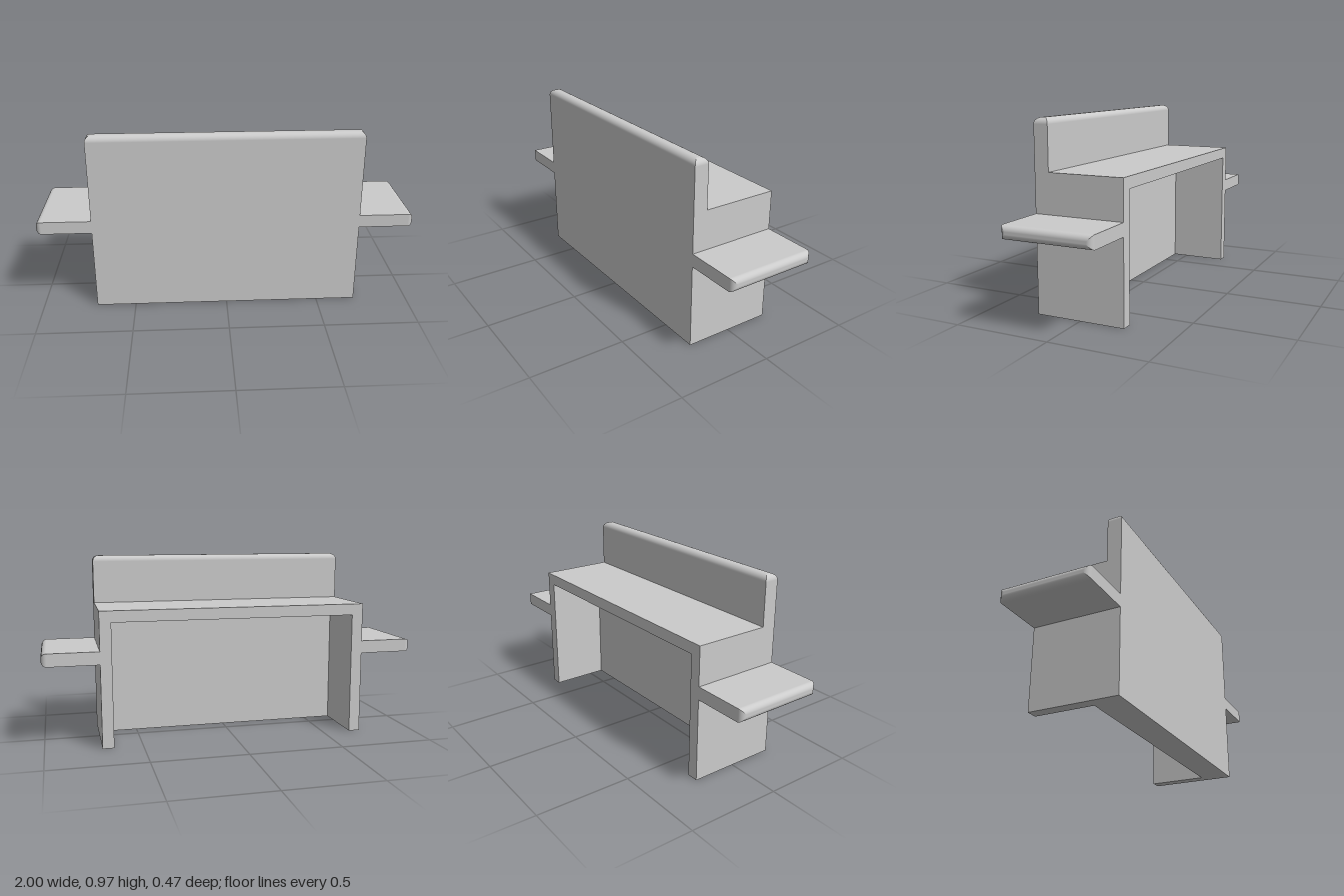
import * as THREE from 'three';

const material = new THREE.MeshStandardMaterial({ color: 0xcccccc });

// Board standing on y = 0, its four upper edges rounded with mitred corners
function roundedTopBoard(w, h, d, r, steps = 8) {
  const positions = [], normals = [], index = [];
  const profile = [{ inset: 0, y: 0, a: 0 }];
  for (let i = 0; i <= steps; i++) {
    const a = (i / steps) * Math.PI / 2;
    profile.push({ inset: r * (1 - Math.cos(a)), y: h - r + r * Math.sin(a), a });
  }
  // four sides, each a smooth strip running up and over the edge
  for (let side = 0; side < 4; side++) {
    const turn = side * Math.PI / 2;
    const c = Math.round(Math.cos(turn)), s = Math.round(Math.sin(turn));
    const halfW = (side % 2 ? d : w) / 2, halfD = (side % 2 ? w : d) / 2;
    const start = positions.length / 3;
    for (const p of profile) {
      for (const e of [-1, 1]) {
        const x = e * (halfW - p.inset), z = halfD - p.inset;
        positions.push(x * c + z * s, p.y, -x * s + z * c);
        normals.push(Math.cos(p.a) * s, Math.sin(p.a), Math.cos(p.a) * c);
      }
    }
    for (let i = 0; i < profile.length - 1; i++) {
      const k = start + i * 2;
      index.push(k, k + 1, k + 3, k, k + 3, k + 2);
    }
  }
  // flat top and bottom
  for (const [y, inset, up] of [[h, r, 1], [0, 0, -1]]) {
    const k = positions.length / 3, x = w / 2 - inset, z = d / 2 - inset;
    positions.push(-x, y, z, x, y, z, x, y, -z, -x, y, -z);
    for (let i = 0; i < 4; i++) normals.push(0, up, 0);
    if (up > 0) index.push(k, k + 1, k + 2, k, k + 2, k + 3);
    else index.push(k, k + 2, k + 1, k, k + 3, k + 2);
  }
  const g = new THREE.BufferGeometry();
  g.setAttribute('position', new THREE.Float32BufferAttribute(positions, 3));
  g.setAttribute('normal', new THREE.Float32BufferAttribute(normals, 3));
  g.setIndex(index);
  return g;
}

export function createModel() {
  const model = new THREE.Group();
  const add = (name, geometry, x, y, z) => {
    const mesh = new THREE.Mesh(geometry, material);
    mesh.name = name;
    mesh.position.set(x, y, z);
    model.add(mesh);
    return mesh;
  };

  const halfX = 0.71, halfZ = 0.237, counterY = 0.712, wall = 0.06;
  const panelBack = 0.16, innerFace = 0.08;

  // Tall front panel with a rounded top
  const panelDepth = halfZ - panelBack;
  add('frontPanel', roundedTopBoard(halfX * 2, 0.97, panelDepth, 0.032),
    0, 0, panelBack + panelDepth / 2);

  // Inner layer behind the front panel, below the counter
  add('innerFrontWall', new THREE.BoxGeometry(halfX * 2, counterY, panelBack - innerFace),
    0, counterY / 2, (panelBack + innerFace) / 2);

  // Counter top and side walls as one arch, open at the back and below
  const inX = halfX - wall, inY = counterY - wall;
  const arch = new THREE.Shape([
    [-halfX, 0], [-inX, 0], [-inX, inY], [inX, inY],
    [inX, 0], [halfX, 0], [halfX, counterY], [-halfX, counterY],
  ].map(([x, y]) => new THREE.Vector2(x, y)));
  add('counterAndSides', new THREE.ExtrudeGeometry(arch, {
    depth: innerFace + halfZ, bevelEnabled: false,
  }), 0, 0, -halfZ);

  // Side shelves with rounded outer ends
  for (const s of [1, -1]) {
    const shelf = add(s > 0 ? 'leftShelf' : 'rightShelf',
      roundedTopBoard(0.068, 1 - halfX, halfZ * 2, 0.028), s * halfX, 0.473, 0);
    shelf.rotation.z = -s * Math.PI / 2;
  }

  return model;
}
